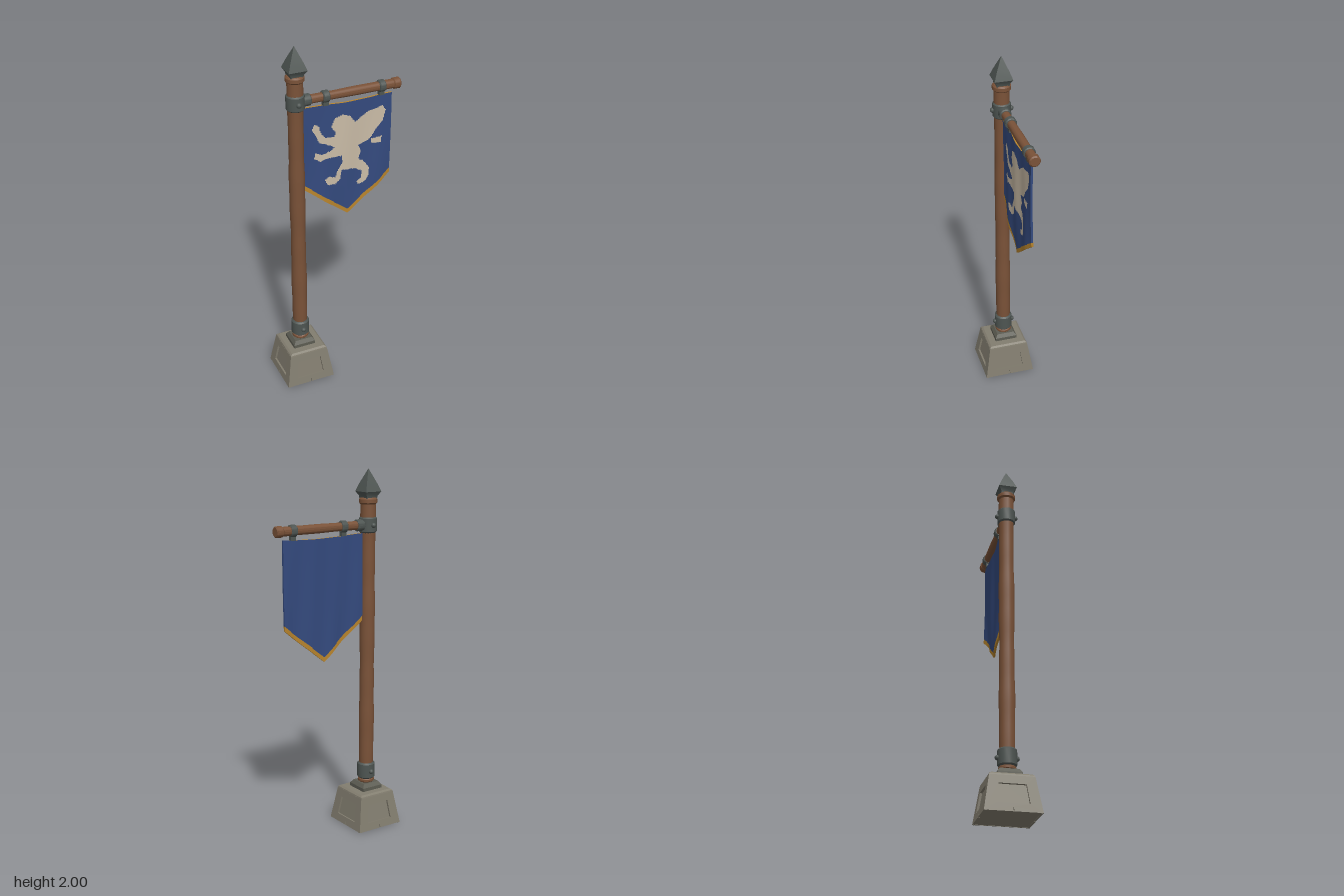
import * as THREE from 'three';
import { toCreasedNormals } from 'three/addons/utils/BufferGeometryUtils.js';

const mat = (name, color) => new THREE.MeshStandardMaterial({ name, color });
const stone = mat('stone', 0x827d6f);
const darkStone = mat('darkStone', 0x5c5c52);
const iron = mat('iron', 0x4e5552);
const wood = mat('wood', 0x7a5238);
const blue = mat('blueCloth', 0x344a7e);
const gold = mat('goldTrim', 0xb8842c);
const cream = mat('creamEmblem', 0xc9bba6);

const POLE_X = -0.226;
const ROD_Y = 1.705;

// Beast silhouette on the cloth, in small steps from (0, 1)
const BEAST = [
  [-6, 99], [-2, 108], [6, 111], [14, 108], [20, 100], [34, 109], [50, 112], [53, 107], [50, 96], [42, 87],
  [36, 78], [24, 73], [27, 66], [24, 58], [30, 54], [35, 47], [36, 38], [32, 31], [25, 28], [22, 32],
  [28, 36], [28, 43], [20, 48], [5, 50], [4, 40], [-2, 35], [-10, 36], [-14, 43], [-8, 45], [-2, 43],
  [0, 48], [6, 59], [5, 66], [-12, 66], [-18, 64], [-24, 68], [-23, 74], [-16, 71], [-6, 74], [-2, 77],
  [-10, 81], [-18, 84], [-22, 92], [-26, 100], [-24, 106], [-19, 103], [-17, 95], [-12, 89], [-3, 88], [-1, 93],
];
const TUFT = [[38, 78], [49, 79], [48, 72], [38, 73]];

function inside(poly, x, y) {
  let hit = false;
  poly.forEach(([ax, ay], i) => {
    const [bx, by] = poly[(i + 1) % poly.length];
    if ((ay > y) !== (by > y) && x < ax + ((y - ay) * (bx - ax)) / (by - ay)) hit = !hit;
  });
  return hit;
}

function part(parent, name, geometry, material, x = 0, y = 0, z = 0) {
  const mesh = new THREE.Mesh(geometry, material);
  mesh.name = name;
  mesh.position.set(x, y, z);
  parent.add(mesh);
  return mesh;
}

// Turned solid from [radius, height] pairs, closed at both ends
function turned(profile, sides = 20) {
  const pts = [[0, profile[0][1]], ...profile, [0, profile.at(-1)[1]]];
  return toCreasedNormals(new THREE.LatheGeometry(pts.map(([r, h]) => new THREE.Vector2(r, h)), sides), 0.6);
}

// Square solid from [half width, height] pairs
function squared(profile) {
  return turned(profile.map(([r, h]) => [r * Math.SQRT2, h]), 4).rotateY(Math.PI / 4);
}

// Band with softened rims
const band = (r, y0, y1, b = 0.008) => turned([[r - b, y0], [r, y0 + b], [r, y1 - b], [r - b, y1]]);

// Timber with a slightly uneven thickness
function timber(radius, length, steps) {
  const g = new THREE.CylinderGeometry(radius, radius, length, 16, steps);
  const p = g.attributes.position;
  for (let i = 0; i < p.count; i++) {
    const s = 1 + 0.035 * Math.sin(p.getY(i) * 11) + 0.02 * Math.sin(p.getY(i) * 29 + 1);
    p.setX(i, p.getX(i) * s);
    p.setZ(i, p.getZ(i) * s);
  }
  g.computeVertexNormals();
  return toCreasedNormals(g, 0.7);
}

function createBase() {
  const base = new THREE.Group();
  base.name = 'stoneBase';
  part(base, 'baseCore', squared([[0.13, 0.002], [0.099, 0.19]]), stone);
  part(base, 'baseTop', squared([[0.111, 0.185], [0.109, 0.193], [0.099, 0.201]]), stone);
  part(base, 'baseFoot', squared([[0.137, 0], [0.137, 0.004]]), stone);
  // Four sloping frames, each with a recessed panel and a crack below it
  const outline = [[-0.141, 0], [-0.003, 0], [-0.001, 0.025], [0.003, 0], [0.141, 0], [0.111, 0.188], [-0.111, 0.188]];
  const hole = [[-0.08, 0.043], [-0.067, 0.145], [0.067, 0.145], [0.08, 0.043]];
  const v2 = (list) => list.map(([x, y]) => new THREE.Vector2(x, y));
  const shape = new THREE.Shape(v2(outline));
  shape.holes.push(new THREE.Path(v2(hole)));
  for (let i = 0; i < 4; i++) {
    const g = new THREE.ExtrudeGeometry(shape, { depth: 0.012, bevelEnabled: false });
    g.translate(0, 0, -0.012).rotateX(-Math.atan2(0.03, 0.188)).translate(0, 0, 0.141);
    g.rotateY((i * Math.PI) / 2);
    part(base, 'baseFrame', g, stone);
  }
  base.scale.z = 1.03;
  base.position.x = -0.222;
  return base;
}

function createPole() {
  const pole = new THREE.Group();
  pole.name = 'pole';
  part(pole, 'plinthPlate', squared([[0.064, 0.198], [0.064, 0.22], [0.05, 0.24]]), darkStone);
  part(pole, 'footRing', band(0.046, 0.238, 0.265), wood);
  part(pole, 'shaft', timber(0.041, 1.62, 40), wood, 0, 1.04);
  part(pole, 'topRing', band(0.05, 1.815, 1.85), wood);
  part(pole, 'finial', squared([[0.034, 1.845], [0.036, 1.86], [0.05, 1.882], [0.034, 1.925], [0.001, 2]]), iron);
  part(pole, 'lowerCollar', band(0.05, 0.262, 0.355), iron);
  part(pole, 'upperCollar', band(0.049, 1.662, 1.748), iron);
  for (const y of [0.307, ROD_Y]) {
    for (const side of [-1, 1]) {
      part(pole, 'rivet', new THREE.SphereGeometry(0.014, 12, 8), iron, 0, y, side * 0.05);
    }
  }
  pole.position.x = POLE_X;
  return pole;
}

function createCrossbar() {
  const bar = new THREE.Group();
  bar.name = 'crossbar';
  const lay = (g) => g.rotateZ(-Math.PI / 2);
  part(bar, 'rod', lay(timber(0.024, 0.52, 20)), wood, 0.07);
  part(bar, 'endKnob', lay(band(0.03, 0.317, 0.359, 0.006)), wood);
  part(bar, 'socket', lay(band(0.032, -0.19, -0.146, 0.005)), iron);
  for (const x of [-0.062, 0.254]) {
    part(bar, 'hangerBand', lay(band(0.032, -0.018, 0.018, 0.005)), iron, x);
    part(bar, 'hangerTab', new THREE.BoxGeometry(0.03, 0.03, 0.022), iron, x, -0.035);
  }
  bar.position.y = ROD_Y;
  return bar;
}

function createBanner() {
  const mid = 0.064, half = 0.249;
  const edge = (x) => 0.985 + (0.2 * Math.abs(x - mid)) / half;
  const g = new THREE.BoxGeometry(2 * half, 1, 0.011, 96, 128, 1);
  const p = g.attributes.position;
  // Pointed hem, sagging top and soft folds
  for (let i = 0; i < p.count; i++) {
    const x = p.getX(i) + mid, v = 0.5 - p.getY(i);
    const top = 1.657 - 0.005 * Math.sin(((x + 0.062) / 0.316) * Math.PI);
    const fold = 0.005 * Math.sin(x * 22 + v * 3) + 0.003 * Math.sin(x * 41 - v * 2);
    p.setXYZ(i, x, top + (edge(x) - top) * v, p.getZ(i) + fold * (0.4 + 0.6 * v));
  }
  g.computeVertexNormals();
  // Sort the faces into cloth, trim and emblem
  const bins = [[], [], []];
  const index = g.index.array;
  for (const { start, count } of g.groups.slice()) {
    const front = start === g.groups[4].start, upper = start === g.groups[2].start;
    for (let i = start; i < start + count; i += 6) {
      const quad = [...index.slice(i, i + 6)];
      const x = quad.reduce((s, k) => s + p.getX(k), 0) / 6;
      const y = quad.reduce((s, k) => s + p.getY(k), 0) / 6;
      const bx = x * 189, by = (y - 1) * 189;
      let bin = 0;
      if (upper || y < edge(x) + 0.026) bin = 1;
      else if (front && (inside(BEAST, bx, by) || inside(TUFT, bx, by))) bin = 2;
      bins[bin].push(...quad);
    }
  }
  g.setIndex(bins.flat());
  g.clearGroups();
  let at = 0;
  bins.forEach((bin, i) => {
    g.addGroup(at, bin.length, i);
    at += bin.length;
  });
  const mesh = new THREE.Mesh(g, [blue, gold, cream]);
  mesh.name = 'banner';
  return mesh;
}

export function createModel() {
  const model = new THREE.Group();
  model.name = 'bannerPost';
  model.add(createBase(), createPole(), createCrossbar(), createBanner());
  return model;
}
